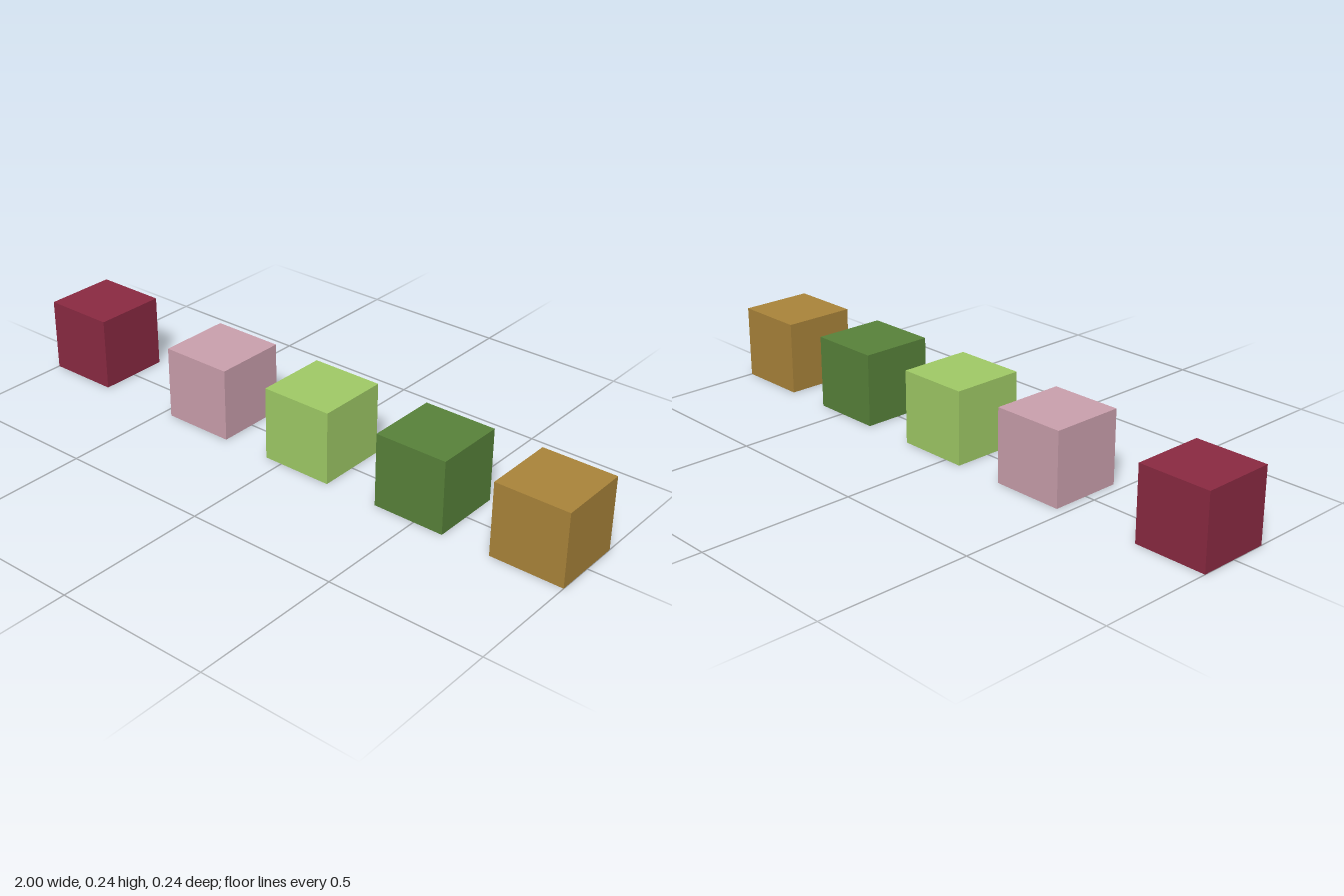
import * as THREE from 'three';

// A row of five equal cubes: name, x of the centre, colour
const SIZE = 0.24;
const CUBES = [
  ['crimsonCube', -0.88, 0x8b2a42],
  ['pinkCube', -0.347, 0xcba0ad],
  ['lightGreenCube', 0.06, 0xa0cb66],
  ['darkGreenCube', 0.48, 0x58823a],
  ['ochreCube', 0.88, 0xaa843a],
];

export function createModel() {
  const model = new THREE.Group();
  model.name = 'cubeRow';
  const geometry = new THREE.BoxGeometry(SIZE, SIZE, SIZE);
  for (const [name, x, color] of CUBES) {
    const cube = new THREE.Mesh(geometry, new THREE.MeshStandardMaterial({ color }));
    cube.name = name;
    cube.position.set(x, SIZE / 2, 0);
    model.add(cube);
  }
  return model;
}
